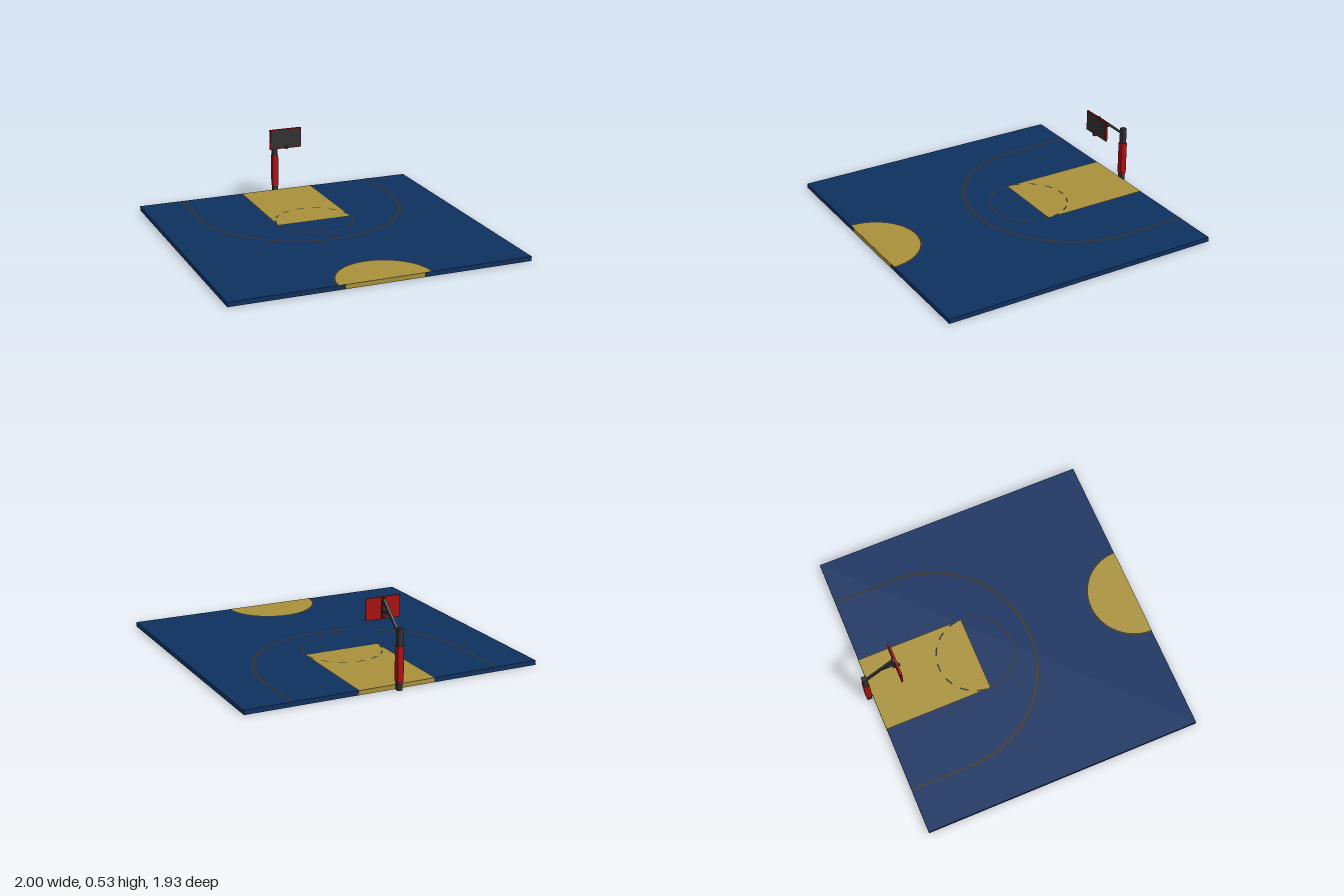
import * as THREE from 'three';

const mat = (name, color) => Object.assign(new THREE.MeshStandardMaterial({ color }), { name });

export function createModel() {
  const navy = mat('navy court', 0x0f3160);
  const gold = mat('gold paint', 0xa8913a);
  const dark = mat('charcoal', 0x303030);
  const red = mat('red', 0xa81010);

  const model = new THREE.Group();
  model.name = 'basketballHalfCourt';
  const FLOOR = 0.03, BACK = -0.922, FRONT = 0.965;

  const add = (parent, name, geometry, material) => {
    const mesh = new THREE.Mesh(geometry, material);
    mesh.name = name;
    parent.add(mesh);
    return mesh;
  };
  // Box given by its minimum and maximum on each axis
  const box = (parent, name, material, [x0, x1], [y0, y1], [z0, z1]) => {
    const mesh = add(parent, name, new THREE.BoxGeometry(x1 - x0, y1 - y0, z1 - z0), material);
    mesh.position.set((x0 + x1) / 2, (y0 + y1) / 2, (z0 + z1) / 2);
    return mesh;
  };
  // Flat painted areas, lifted just above the floor
  const flat = (name, geometry, material, x, z, lift) => {
    const mesh = add(court, name, geometry.rotateX(-Math.PI / 2), material);
    mesh.position.set(x, FLOOR + lift, z);
  };
  const paintRect = (name, material, [x0, x1], [z0, z1], lift) =>
    flat(name, new THREE.PlaneGeometry(x1 - x0, z1 - z0), material, (x0 + x1) / 2, (z0 + z1) / 2, lift);
  const paintArc = (name, inner, outer, z, start, length, segments = 48) =>
    flat(name, new THREE.RingGeometry(inner, outer, segments, 1, start, length), dark, 0, z, 0.002);

  // Court slab and painted areas
  const court = new THREE.Group();
  court.name = 'court';
  model.add(court);
  box(court, 'courtSlab', navy, [-1, 1], [0, FLOOR], [BACK, FRONT]);
  paintRect('key', gold, [-0.26, 0.26], [BACK, -0.185], 0.001);
  flat('centreCircle', new THREE.CircleGeometry(0.305, 48, 0, Math.PI), gold, 0, FRONT, 0.001);
  box(court, 'keyBackEdge', gold, [-0.26, 0.26], [0.001, FLOOR], [BACK - 0.002, BACK]);
  box(court, 'centreFrontEdge', gold, [-0.26, 0.26], [0.001, FLOOR], [FRONT, FRONT + 0.002]);

  // Court lines
  paintArc('centreCircleLine', 0.303, 0.316, FRONT, 0, Math.PI);
  paintArc('threePointArc', 0.692, 0.712, -0.5, Math.PI, Math.PI, 64);
  paintArc('freeThrowArc', 0.254, 0.264, -0.19, Math.PI, Math.PI);
  for (let i = 0; i < 7; i++) {
    paintArc('freeThrowDash', 0.254, 0.264, -0.19, (i + 0.25) * Math.PI / 7, Math.PI / 14, 6);
  }
  paintRect('freeThrowLine', dark, [-0.26, 0.26], [-0.189, -0.182], 0.002);
  for (const s of [-1, 1]) {
    paintRect('threePointSide', dark, [s * 0.702 - 0.008, s * 0.702 + 0.008], [BACK, -0.5], 0.002);
    paintRect('keySideLine', dark, [s * 0.26 - 0.004, s * 0.26 + 0.004], [BACK, -0.185], 0.002);
  }

  // Post with padding
  const hoop = new THREE.Group();
  hoop.name = 'hoopStand';
  model.add(hoop);
  box(hoop, 'post', dark, [-0.016, 0.016], [0, 0.39], [-0.964, -0.931]);
  box(hoop, 'postPad', red, [-0.02, 0.02], [0.055, 0.282], [-0.968, -0.927]);

  // Sloping arm between post and backboard
  const from = new THREE.Vector3(0, 0.35, -0.944), to = new THREE.Vector3(0, 0.516, -0.742);
  const arm = add(hoop, 'arm', new THREE.BoxGeometry(0.016, 0.016, from.distanceTo(to)), dark);
  arm.position.copy(from).add(to).multiplyScalar(0.5);
  arm.lookAt(to);
  box(hoop, 'brace', dark, [-0.007, 0.007], [0.433, 0.445], [-0.838, -0.74]);
  box(hoop, 'boardUpright', dark, [-0.012, 0.012], [0.4, 0.524], [-0.75, -0.735]);

  // Backboard with a dark face inside a red edge
  box(hoop, 'backboard', red, [-0.115, 0.115], [0.39, 0.53], [-0.735, -0.724]);
  box(hoop, 'backboardFace', dark, [-0.109, 0.109], [0.396, 0.524], [-0.724, -0.721]);

  // Small rim bracket
  box(hoop, 'rimBracket', red, [-0.008, 0.008], [0.392, 0.404], [-0.703, -0.724]
    .sort((a, b) => a - b));
  box(hoop, 'rimBracketTop', dark, [-0.009, 0.009], [0.404, 0.408], [-0.724, -0.702]);
  box(hoop, 'rimBracketFront', dark, [-0.009, 0.009], [0.392, 0.404], [-0.703, -0.701]);
  return model;
}
